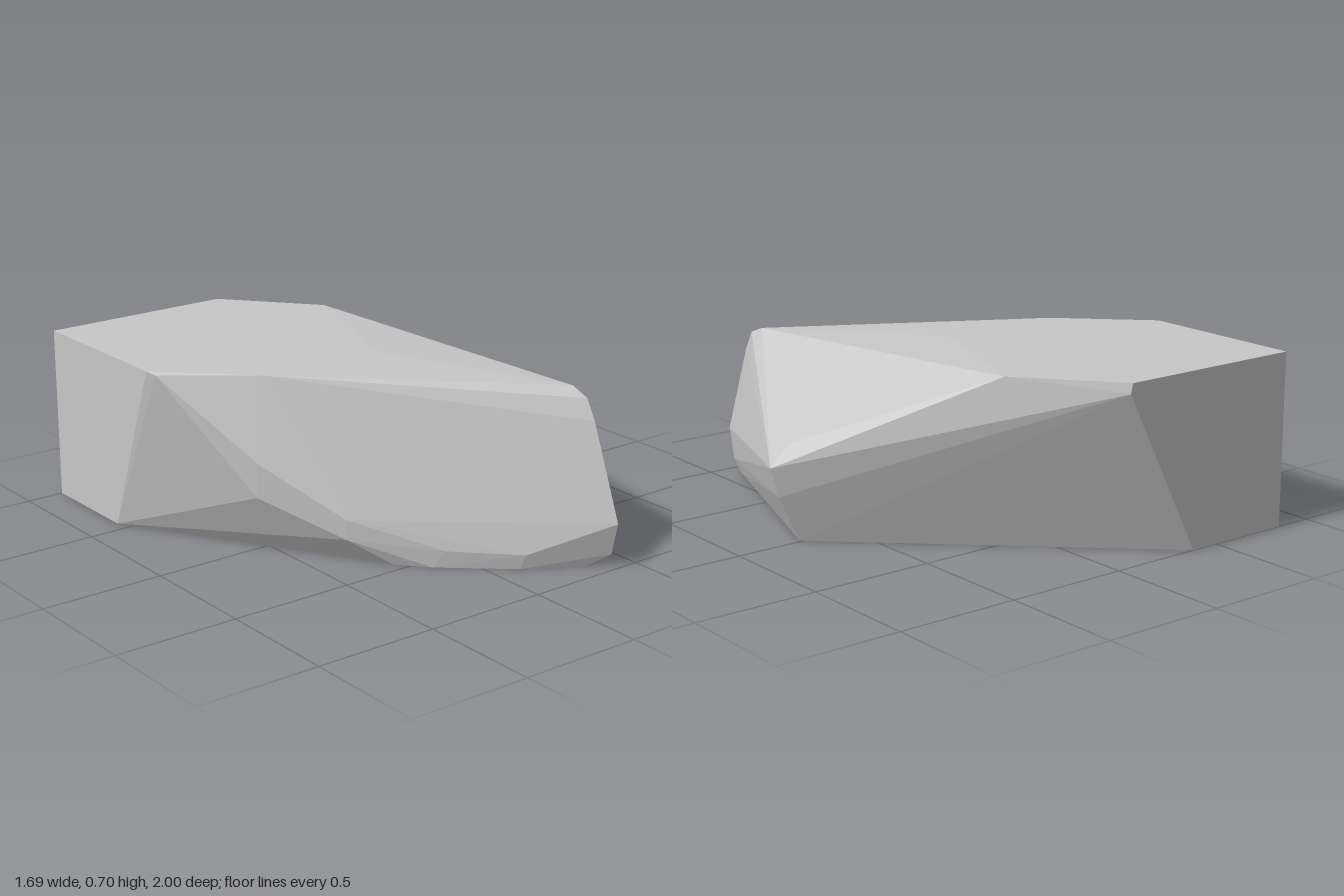
import * as THREE from 'three';
import { ConvexGeometry } from 'three/addons/geometries/ConvexGeometry.js';

// Faceted boulder: a convex hull over the corner points of each region
export function createModel() {
  const group = new THREE.Group();
  group.name = 'boulder';
  const stone = new THREE.MeshStandardMaterial({ color: 0xc7c7c7 });
  stone.name = 'stone grey';

  const corners = {
    top: [[-0.845, 0.7, -1], [-0.05, 0.7, -1], [0.25, 0.7, -0.64], [0, 0.7, 0.01],
      [-0.53, 0.7, 0.01], [-0.845, 0.7, -0.3]],
    base: [[-0.845, 0, -1], [-0.38, 0, -1], [0.72, 0, 0.01], [0.4, 0, 0.92], [0.33, 0, 0.91],
      [0.11, 0, 0.78], [-0.14, 0, 0.565], [-0.24, 0, 0.45], [-0.845, 0, -0.56]],
    frontRidge: [[0.4, 0.66, 0.73], [0.4, 0.63, 0.81], [0.4, 0.55, 0.855],
      [0.4, 0.18, 1], [0.4, 0.05, 0.97]],
    rightPoint: [[0.765, 0.39, 0.01], [0.845, 0.31, 0.01], [0.81, 0.19, 0.01]],
    backEdge: [[-0.04, 0.66, -1]],
    curvedSide: [[-0.83, 0.69, -0.26], [-0.6, 0.38, 0.07], [-0.6, 0.24, 0.07],
      [-0.38, 0.18, 0.34], [-0.38, 0.1, 0.34], [-0.11, 0.07, 0.6], [0.12, 0.06, 0.8]],
  };
  const points = Object.values(corners).flat().map((p) => new THREE.Vector3(...p));

  const rock = new THREE.Mesh(new ConvexGeometry(points), stone);
  rock.name = 'rock';
  group.add(rock);
  return group;
}
